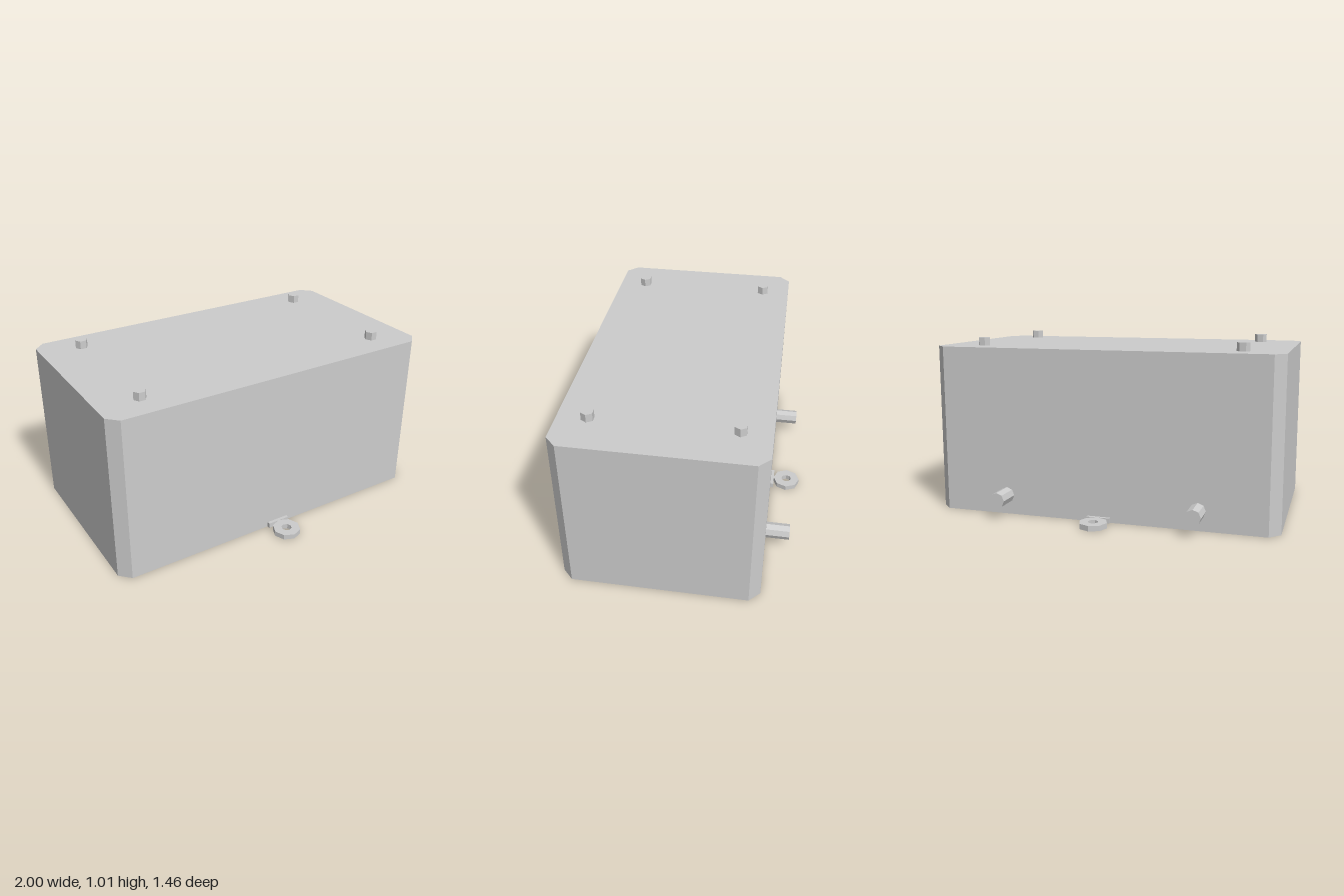
import * as THREE from 'three';

const H = 0.96, HALF_X = 1, HALF_Z = 0.555, CHAMFER = 0.06;

// Regular polygon with corners on the axes
function polygon(Type, r, n) {
  const pts = [];
  for (let i = 0; i < n; i++) {
    const a = (i / n) * Math.PI * 2;
    pts.push(new THREE.Vector2(Math.cos(a) * r, Math.sin(a) * r));
  }
  return new Type(pts);
}

// Extrude a plan shape upwards from y = 0
function extrudeUp(shape, height) {
  const g = new THREE.ExtrudeGeometry(shape, { depth: height, bevelEnabled: false });
  return g.rotateX(-Math.PI / 2);
}

export function createModel() {
  const model = new THREE.Group();
  model.name = 'box';
  const grey = new THREE.MeshStandardMaterial({ color: 0xcccccc, flatShading: true });
  grey.name = 'grey';

  const add = (name, geometry, x, y, z) => {
    const mesh = new THREE.Mesh(geometry, grey);
    mesh.name = name;
    mesh.position.set(x, y, z);
    model.add(mesh);
  };

  // Case with chamfered upright corners
  const a = HALF_X, b = HALF_Z, c = CHAMFER;
  const plan = new THREE.Shape([
    [a, -b + c], [a, b - c], [a - c, b], [-a + c, b],
    [-a, b - c], [-a, -b + c], [-a + c, -b], [a - c, -b],
  ].map(([x, z]) => new THREE.Vector2(x, z)));
  add('case', extrudeUp(plan, H), 0, 0, 0);

  // Hexagonal pins on the lid
  const pin = new THREE.CylinderGeometry(0.036, 0.036, 0.047, 6).rotateY(Math.PI / 2);
  for (const x of [-0.76, 0.76]) {
    for (const z of [-0.39, 0.39]) add('lidPin', pin, x, H + 0.0235, z);
  }

  // Mounting lugs: an eyelet on a thin foot, front and back
  const ring = polygon(THREE.Shape, 0.08, 8);
  ring.holes.push(polygon(THREE.Path, 0.03, 8));
  const eyelet = extrudeUp(ring, 0.03);
  const foot = new THREE.BoxGeometry(0.134, 0.03, 0.018);
  for (const s of [-1, 1]) {
    add('lugEyelet', eyelet, 0, 0, s * 0.652);
    add('lugFoot', foot, 0, 0.015, s * (HALF_Z + 0.009));
  }

  // Cable stubs at the back
  const stub = new THREE.CylinderGeometry(0.045, 0.045, 0.135, 8).rotateX(Math.PI / 2);
  for (const x of [-0.56, 0.56]) add('cableStub', stub, x, 0.112, -HALF_Z - 0.0675);

  return model;
}
